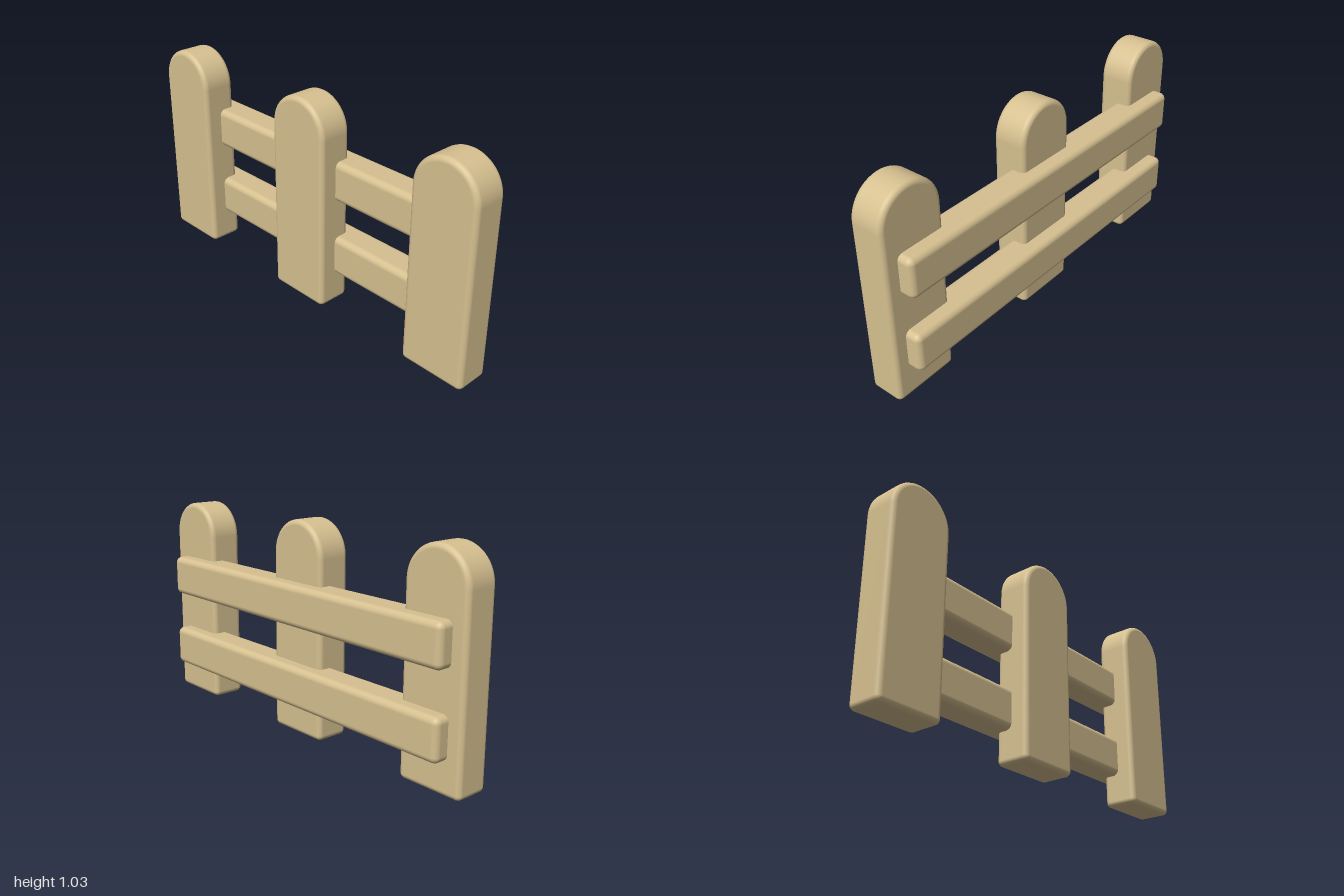
import * as THREE from 'three';
import { RoundedBoxGeometry } from 'three/addons/geometries/RoundedBoxGeometry.js';

const HALF = 0.165;     // half post width, also the radius of its arched top
const ARCH_Y = 0.865;   // where the arch begins
const DEPTH = 0.17;     // post depth
const BEVEL = 0.025;    // edge rounding

// Flat post with an arched top and softly rounded edges
function postGeometry() {
  const r = BEVEL * 1.05;
  const shape = new THREE.Shape();
  shape.moveTo(-HALF + r, 0);
  shape.lineTo(HALF - r, 0);
  shape.absarc(HALF - r, r, r, -Math.PI / 2, 0, false);
  shape.lineTo(HALF, ARCH_Y);
  shape.absarc(0, ARCH_Y, HALF, 0, Math.PI, false);
  shape.lineTo(-HALF, r);
  shape.absarc(-HALF + r, r, r, Math.PI, Math.PI * 1.5, false);

  const geo = new THREE.ExtrudeGeometry(shape, {
    depth: DEPTH - 2 * BEVEL, curveSegments: 20,
    bevelThickness: BEVEL, bevelSize: BEVEL, bevelOffset: -BEVEL, bevelSegments: 5,
  });
  geo.translate(0, 0, BEVEL - DEPTH / 2);

  // Smooth normals: point away from the nearest spot on the inset core
  const pos = geo.attributes.position;
  const inner = HALF - BEVEL;
  const innerZ = DEPTH / 2 - BEVEL;
  const p = new THREE.Vector3();
  const core = new THREE.Vector3();
  for (let i = 0; i < pos.count; i++) {
    p.fromBufferAttribute(pos, i);
    if (p.y > ARCH_Y) {
      const k = Math.min(1, inner / Math.hypot(p.x, p.y - ARCH_Y));
      core.set(p.x * k, ARCH_Y + (p.y - ARCH_Y) * k, 0);
    } else {
      core.set(THREE.MathUtils.clamp(p.x, -inner, inner), Math.max(p.y, BEVEL), 0);
    }
    core.z = THREE.MathUtils.clamp(p.z, -innerZ, innerZ);
    p.sub(core).normalize();
    geo.attributes.normal.setXYZ(i, p.x, p.y, p.z);
  }
  return geo;
}

export function createModel() {
  const group = new THREE.Group();
  group.name = 'fence';
  const wood = new THREE.MeshStandardMaterial({ color: 0xd6c090 });
  wood.name = 'paleWood';

  const add = (name, geo, x, y, z) => {
    const mesh = new THREE.Mesh(geo, wood);
    mesh.name = name;
    mesh.position.set(x, y, z);
    group.add(mesh);
  };

  // Three upright posts
  const post = postGeometry();
  [['rightPost', -1], ['middlePost', 0], ['leftPost', 1]].forEach(([name, side]) =>
    add(name, post, side * (1 - HALF), 0, 0.035));

  // Two rails running through the backs of the posts
  const rail = new RoundedBoxGeometry(1.86, 0.198, 0.155, 5, 0.03);
  add('lowerRail', rail, 0, 0.255, -0.0425);
  add('upperRail', rail, 0, 0.643, -0.0425);

  return group;
}
